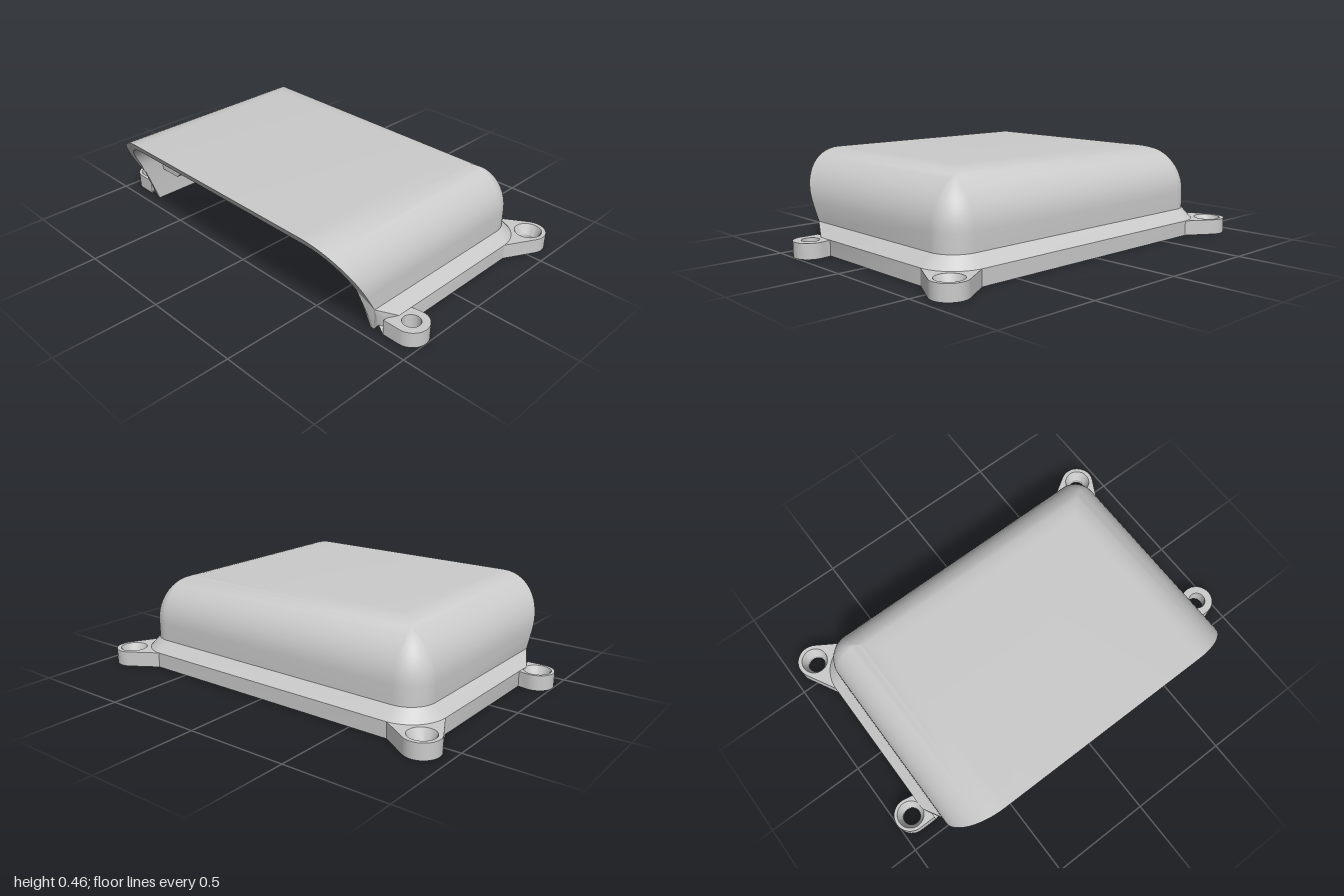
import * as THREE from 'three';
import { toCreasedNormals } from 'three/addons/utils/BufferGeometryUtils.js';

const HALF_W = 0.81, BACK = -0.52, CORNER = 0.13; // outer wall plan
const FILLET = 0.24, WALL = 0.045, TOP = 0.455;   // roof rounding, thickness, height
const FLANGE_H = 0.075;

// Front edge: upright at the flange, raked forward above it
const frontZ = (d, y) =>
  0.44 + Math.max(0, y - 0.08) * 0.587 - (d < -0.04 ? 0.07 : 0);

// U-shaped plan path (left front, around the back, right front), inset by d
function pathAt(d, y) {
  const r = Math.max(0, CORNER - d), w = HALF_W - d, b = BACK + d;
  const half = [[w, frontZ(d, y)]];
  for (let i = 0; i <= 12; i++) {
    const a = (i / 12) * Math.PI / 2;
    half.push([w - r + r * Math.cos(a), b + r - r * Math.sin(a)]);
  }
  const other = half.map(([x, z]) => [-x, z]).reverse();
  return [...half, ...other].map(([x, z]) => new THREE.Vector3(x, y, z));
}

// Wall section as [inset, height]: flange, chamfer, rounded roof, inside, seal groove
function wallProfile() {
  const outer = [[-0.05, 0], [-0.05, FLANGE_H], [0, 0.13]], inner = [];
  for (let i = 0; i <= 14; i++) {
    const a = (i / 14) * Math.PI / 2, c = Math.cos(a), s = Math.sin(a);
    const ri = FILLET - WALL;
    outer.push([FILLET - FILLET * c, TOP - FILLET + FILLET * s]);
    inner.unshift([FILLET - ri * c, TOP - FILLET + ri * s]);
  }
  const foot = [[WALL, 0], [0.025, 0], [0, 0.035], [-0.025, 0]];
  return { profile: [...outer, ...inner, ...foot], seam: outer.length - 1 };
}

function shellGeometry() {
  const { profile, seam } = wallProfile();
  const rings = profile.map(([d, y]) => pathAt(d, y));
  const pos = [];
  const tri = (a, b, c) => {
    const n = b.clone().sub(a).cross(c.clone().sub(a));
    if (n.length() > 1e-9) for (const p of [a, b, c]) pos.push(p.x, p.y, p.z);
  };
  const quad = (a, b, c, d) => { tri(a, b, c); tri(a, c, d); };

  // swept walls
  rings.forEach((lo, j) => {
    if (j === seam) return;
    const hi = rings[(j + 1) % rings.length];
    for (let i = 0; i < lo.length - 1; i++) quad(lo[i], lo[i + 1], hi[i + 1], hi[i]);
  });

  // front ends of the walls
  const flat = profile.map(([d, y]) => new THREE.Vector2(-d, y));
  const last = rings[0].length - 1;
  for (let [a, b, c] of THREE.ShapeUtils.triangulateShape(flat, [])) {
    if (THREE.ShapeUtils.area([flat[a], flat[b], flat[c]]) < 0) [b, c] = [c, b];
    tri(rings[a][0], rings[b][0], rings[c][0]);
    tri(rings[a][last], rings[c][last], rings[b][last]);
  }

  // flat roof: top, underside and front rim
  const roof = (y) => {
    const x = HALF_W - FILLET, f = frontZ(0, y), b = BACK + FILLET;
    return [[-x, f], [x, f], [x, b], [-x, b]].map(([u, z]) => new THREE.Vector3(u, y, z));
  };
  const t = roof(TOP), u = roof(TOP - WALL);
  quad(t[0], t[1], t[2], t[3]);
  quad(u[3], u[2], u[1], u[0]);
  quad(u[0], u[1], t[1], t[0]);

  const g = new THREE.BufferGeometry();
  g.setAttribute('position', new THREE.Float32BufferAttribute(pos, 3));
  return toCreasedNormals(g, 0.5);
}

// Screw lug: a round end joined by tangents to p1 and p2, q closes it inside the flange
function lug(name, side, [cx, cz], r, p1, p2, q, sunk, material) {
  const tangent = (p, s) => {
    const dx = p[0] - cx, dz = p[1] - cz;
    return Math.atan2(dz, dx) + s * Math.acos(r / Math.hypot(dx, dz));
  };
  const a1 = tangent(p1, -1);
  let a2 = tangent(p2, 1);
  if (a2 > a1) a2 -= 2 * Math.PI;
  const pts = [p1];
  for (let i = 0; i <= 24; i++) {
    const a = a1 + (a2 - a1) * i / 24;
    pts.push([cx + r * Math.cos(a), cz + r * Math.sin(a)]);
  }
  pts.push(p2, q);
  const shape = new THREE.Shape(pts.map(([x, z]) => new THREE.Vector2(side * x, -z)));
  const hole = new THREE.Path();
  hole.absarc(side * cx, -cz, sunk ? 0.065 : 0.042, 0, Math.PI * 2, true);
  shape.holes.push(hole);
  const body = new THREE.ExtrudeGeometry(shape, { depth: FLANGE_H, bevelEnabled: false, curveSegments: 32 });
  body.rotateX(-Math.PI / 2);

  const group = new THREE.Group();
  group.name = name;
  const bodyMesh = new THREE.Mesh(toCreasedNormals(body, 0.5), material);
  bodyMesh.name = 'lugBody';
  group.add(bodyMesh);
  if (sunk) { // countersunk seat
    const prof = [[0.065, FLANGE_H], [0.042, 0.025], [0.042, 0], [0.065, 0]];
    const seat = new THREE.LatheGeometry(prof.map((p) => new THREE.Vector2(...p)), 32);
    const seatMesh = new THREE.Mesh(toCreasedNormals(seat, 0.4), material);
    seatMesh.name = 'countersink';
    seatMesh.position.set(side * cx, 0, cz);
    group.add(seatMesh);
  }
  return group;
}

// Thin plate bracing wall and roof inside the mouth
function ribGeometry(side, tipX) {
  const pts = [[0.785, 0.16], [0.64, 0.16], [tipX, 0.41], [tipX, 0.43]];
  for (let i = 0; i <= 10; i++) {
    const a = (1 - i / 10) * Math.PI / 2;
    pts.push([0.57 + 0.215 * Math.cos(a), 0.215 + 0.215 * Math.sin(a)]);
  }
  const shape = new THREE.Shape(pts.map(([x, y]) => new THREE.Vector2(side * x, y)));
  const g = new THREE.ExtrudeGeometry(shape, { depth: 0.035, bevelEnabled: false });
  return g.translate(0, 0, 0.365);
}

export function createModel() {
  const model = new THREE.Group();
  model.name = 'hoodedCover';
  const material = new THREE.MeshStandardMaterial({ color: 0xcccccc, side: THREE.DoubleSide });

  const shell = new THREE.Mesh(shellGeometry(), material);
  shell.name = 'shell';
  model.add(shell);

  for (const side of [1, -1]) {
    const label = side > 0 ? 'left' : 'right';
    model.add(lug(label + 'BackLug', side, [0.865, -0.58], 0.085,
      [0.86, -0.39], [0.69, -0.57], [0.797, -0.507], true, material));
    // only the right front lug is countersunk
    model.add(lug(label + 'FrontLug', side, [0.92, 0.36], 0.08,
      [0.835, 0.44], [0.86, 0.29], [0.835, 0.29], side < 0, material));

    const rib = new THREE.Mesh(ribGeometry(side, side > 0 ? 0.47 : 0.37), material);
    rib.name = label + 'Rib';
    model.add(rib);
  }
  return model;
}
